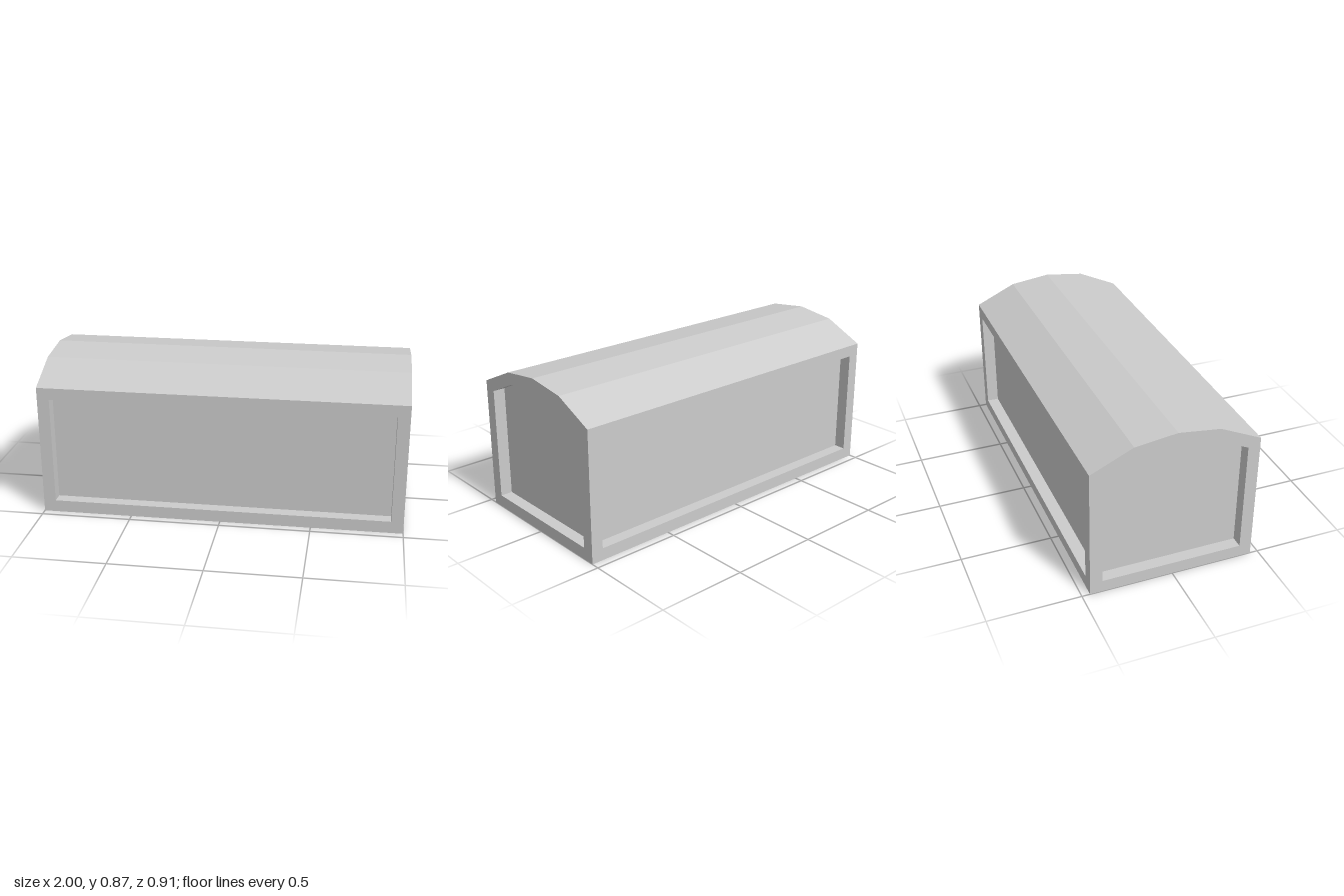
import * as THREE from 'three';

const material = new THREE.MeshStandardMaterial({ color: 0xcccccc, flatShading: true });
const LENGTH = 2, HALF_DEPTH = 0.456, EAVE = 0.733, RECESS = 0.067;

const toVectors = (pairs) => pairs.map(([x, y]) => new THREE.Vector2(x, y));

// Flat strip swept from z = 0 back to z = -depth along a run of points
function band(points, depth, closed) {
  const positions = [];
  const count = closed ? points.length : points.length - 1;
  for (let i = 0; i < count; i++) {
    const a = points[i], b = points[(i + 1) % points.length];
    positions.push(a.x, a.y, 0, b.x, b.y, 0, b.x, b.y, -depth);
    positions.push(a.x, a.y, 0, b.x, b.y, -depth, a.x, a.y, -depth);
  }
  const geometry = new THREE.BufferGeometry();
  geometry.setAttribute('position', new THREE.Float32BufferAttribute(positions, 3));
  geometry.computeVertexNormals();
  return geometry;
}

function addMesh(parent, name, geometry) {
  const mesh = new THREE.Mesh(geometry, material);
  mesh.name = name;
  parent.add(mesh);
  return mesh;
}

// Wall facing +z: a border, the reveal around the opening, and the sunken panel
function recessedWall(name, outer, inner) {
  const wall = new THREE.Group();
  wall.name = name;
  const border = new THREE.Shape(outer);
  border.holes.push(new THREE.Path(inner));
  addMesh(wall, name + 'Frame', new THREE.ShapeGeometry(border));
  addMesh(wall, name + 'Reveal', band(inner, RECESS, true));
  addMesh(wall, name + 'Panel', new THREE.ShapeGeometry(new THREE.Shape(inner))).position.z = -RECESS;
  return wall;
}

// Counter-clockwise outlines
const rectangle = (halfWidth, bottom, top) => toVectors([
  [-halfWidth, bottom], [halfWidth, bottom], [halfWidth, top], [-halfWidth, top],
]);
const vaulted = (halfWidth, bottom, eave, shoulderX, shoulderY, crown) => toVectors([
  [-halfWidth, bottom], [halfWidth, bottom], [halfWidth, eave],
  [shoulderX, shoulderY], [0, crown], [-shoulderX, shoulderY], [-halfWidth, eave],
]);

export function createModel() {
  const chest = new THREE.Group();
  chest.name = 'vaultedChest';

  // Long front and back walls
  const sideOuter = rectangle(LENGTH / 2, 0, EAVE);
  const sideInner = rectangle(LENGTH / 2 - RECESS, RECESS, 0.667);
  ['front', 'back'].forEach((name, i) => {
    const wall = recessedWall(name + 'Wall', sideOuter, sideInner);
    wall.rotation.y = i * Math.PI;
    wall.position.z = i ? -HALF_DEPTH : HALF_DEPTH;
    chest.add(wall);
  });

  // Vaulted end walls
  const endOuter = vaulted(HALF_DEPTH, 0, EAVE, 0.228, 0.838, 0.867);
  const endInner = vaulted(HALF_DEPTH - RECESS, RECESS, 0.69, 0.208, 0.775, 0.801);
  [['left', 1], ['right', -1]].forEach(([name, side]) => {
    const wall = recessedWall(name + 'End', endOuter, endInner);
    wall.rotation.y = side * Math.PI / 2;
    wall.position.x = side * LENGTH / 2;
    chest.add(wall);
  });

  // Faceted roof and floor, swept along the full length
  const roofLine = endOuter.slice(2).reverse();
  const floorLine = endOuter.slice(0, 2).reverse();
  [['roof', roofLine], ['floor', floorLine]].forEach(([name, line]) => {
    const mesh = addMesh(chest, name, band(line, LENGTH, false));
    mesh.rotation.y = Math.PI / 2;
    mesh.position.x = LENGTH / 2;
  });

  return chest;
}
